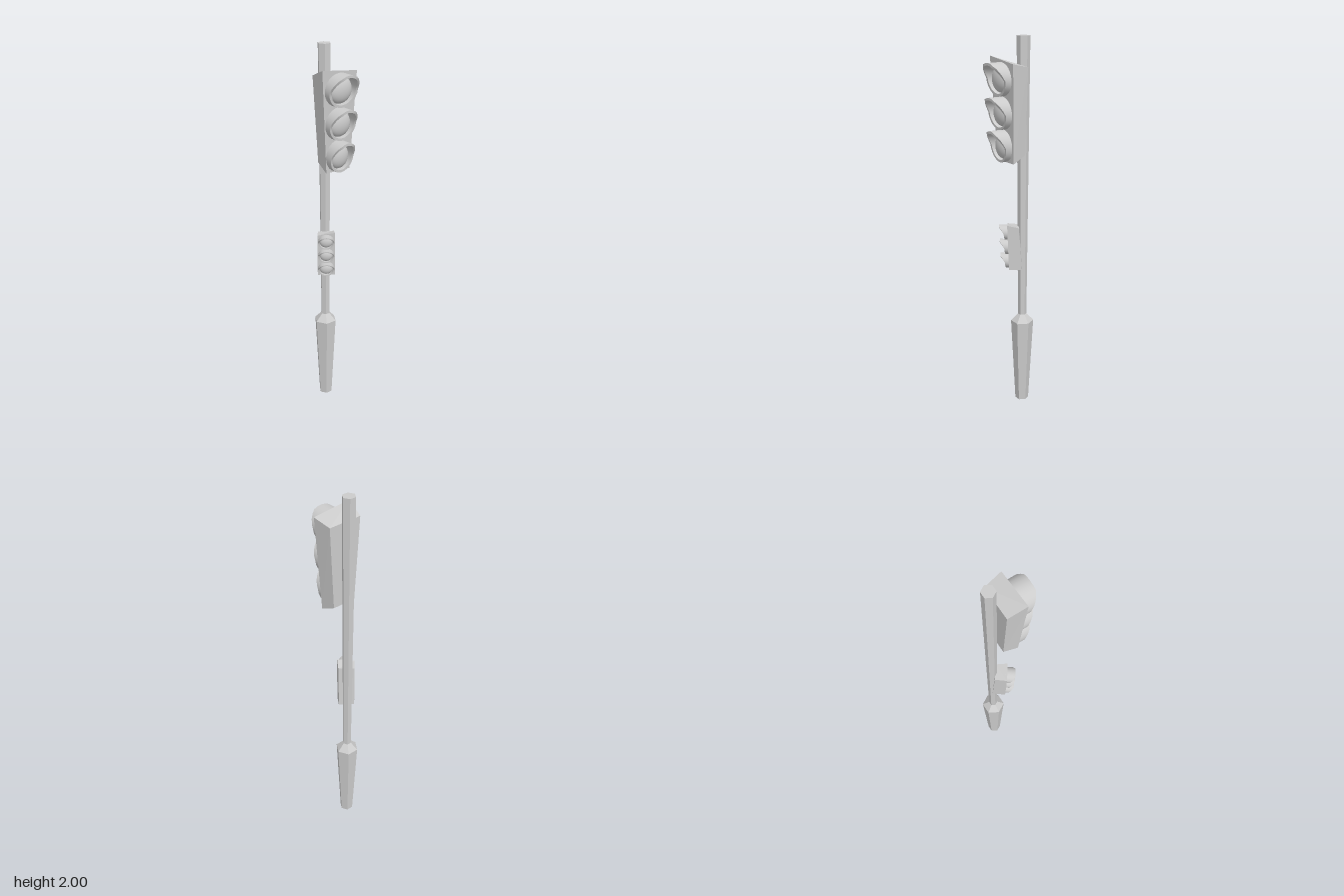
import * as THREE from 'three';

const flat = new THREE.MeshStandardMaterial({ color: 0xcccccc, flatShading: true });
const smooth = new THREE.MeshStandardMaterial({ color: 0xcccccc });
const SIDES = 24;

function mesh(name, geometry, material) {
  const m = new THREE.Mesh(geometry, material);
  m.name = name;
  return m;
}

// Six-sided tapering solid, corners pointing along x
function hexPost(name, profile) {
  const points = profile.map(([r, y]) => new THREE.Vector2(r, y));
  const m = mesh(name, new THREE.LatheGeometry(points, 6, Math.PI / 6), flat);
  m.position.set(0.004, 0, -0.078);
  return m;
}

// Skewed box; each quad lists bottom left, bottom right, top right, top left
function skewedBox(name, front, back) {
  const g = new THREE.BufferGeometry();
  g.setAttribute('position', new THREE.Float32BufferAttribute([...front, ...back].flat(), 3));
  const quads = [[0, 1, 2, 3], [5, 4, 7, 6], [1, 5, 6, 2], [4, 0, 3, 7], [3, 2, 6, 7], [4, 5, 1, 0]];
  g.setIndex(quads.flatMap(([a, b, c, d]) => [a, b, c, a, c, d]));
  const split = g.toNonIndexed();
  split.computeVertexNormals();
  return mesh(name, split, flat);
}

// Smooth closed band between two loops, each a function of the angle from the top
function band(name, loopA, loopB) {
  const pos = [], idx = [];
  for (let i = 0; i < SIDES; i++) {
    const a = (i / SIDES) * Math.PI * 2, j = (i + 1) % SIDES;
    pos.push(...loopA(a), ...loopB(a));
    idx.push(2 * i, 2 * i + 1, 2 * j, 2 * j, 2 * i + 1, 2 * j + 1);
  }
  const g = new THREE.BufferGeometry();
  g.setAttribute('position', new THREE.Float32BufferAttribute(pos, 3));
  g.setIndex(idx);
  g.computeVertexNormals();
  return mesh(name, g, smooth);
}

// How far the visor reaches forward, every 30 degrees from the top to the bottom
const REACH = [0.082, 0.082, 0.061, 0.037, 0.032, 0.028, 0.027];
function reach(angle) {
  const t = Math.min(angle, Math.PI * 2 - angle) / (Math.PI / 6);
  const i = Math.min(Math.floor(t), 5);
  return THREE.MathUtils.lerp(REACH[i], REACH[i + 1], t - i);
}

// Hooded lamp: visor wall, lip, inner wall and domed lens
function lamp(rx, ry, depth) {
  const g = new THREE.Group();
  g.name = 'lamp';
  const loop = (s, z) => (a) => [rx * s * Math.sin(a), ry * s * Math.cos(a), z(a)];
  const tip = (a) => reach(a) * depth;
  const rear = () => -0.012 * depth;
  const inner = 0.85;
  g.add(
    band('visorOuter', loop(1, rear), loop(1, tip)),
    band('visorLip', loop(1, tip), loop(inner, tip)),
    band('visorInner', loop(inner, tip), loop(inner, rear))
  );
  const dome = new THREE.SphereGeometry(1, SIDES, 8, 0, Math.PI * 2, 0, Math.PI / 2);
  dome.rotateX(Math.PI / 2);
  dome.scale(rx * 0.8, ry * 0.8, 0.035 * depth);
  const lens = mesh('lens', dome, smooth);
  lens.position.z = 0.003 * depth;
  g.add(lens);
  return g;
}

// Housing with three lamps, each given as [x, y, z, rx, ry]
function signalHead(name, front, back, lamps, depth) {
  const g = new THREE.Group();
  g.name = name;
  g.add(skewedBox('housing', front, back));
  for (const [x, y, z, rx, ry] of lamps) {
    const l = lamp(rx, ry, depth);
    l.position.set(x, y, z);
    g.add(l);
  }
  return g;
}

export function createModel() {
  const model = new THREE.Group();
  model.name = 'trafficLight';

  // Post
  model.add(
    hexPost('base', [[0, 0], [0.036, 0], [0.061, 0.475], [0.023, 0.515], [0, 0.515]]),
    hexPost('pole', [[0, 0.5], [0.023, 0.5], [0.034, 2], [0, 2]])
  );

  // Large upper signal
  model.add(signalHead('upperSignal',
    [[-0.068, 1.378, 0.03], [0.08, 1.378, 0.03], [0.105, 1.876, 0.05], [-0.105, 1.9, 0.05]],
    [[-0.06, 1.415, -0.048], [0.068, 1.415, -0.048], [0.09, 1.855, -0.048], [-0.09, 1.86, -0.048]],
    [[-0.001, 1.795, 0.046, 0.087, 0.083], [0, 1.627, 0.04, 0.081, 0.082], [0, 1.461, 0.034, 0.072, 0.082]],
    1));

  // Small lower signal, turned towards the model's right
  const lower = signalHead('lowerSignal',
    [[-0.045, -0.125, -0.006], [0.046, -0.125, -0.006], [0.046, 0.122, 0.004], [-0.046, 0.108, 0.004]],
    [[-0.04, -0.125, -0.074], [0.042, -0.125, -0.074], [0.044, 0.108, -0.058], [-0.04, 0.105, -0.06]],
    [[0, 0.073, 0.002, 0.042, 0.04], [0, -0.007, -0.001, 0.042, 0.04], [0, -0.085, -0.004, 0.043, 0.04]],
    0.55);
  lower.position.set(-0.038, 0.91, -0.014);
  lower.rotation.y = THREE.MathUtils.degToRad(-35);
  model.add(lower);

  return model;
}
